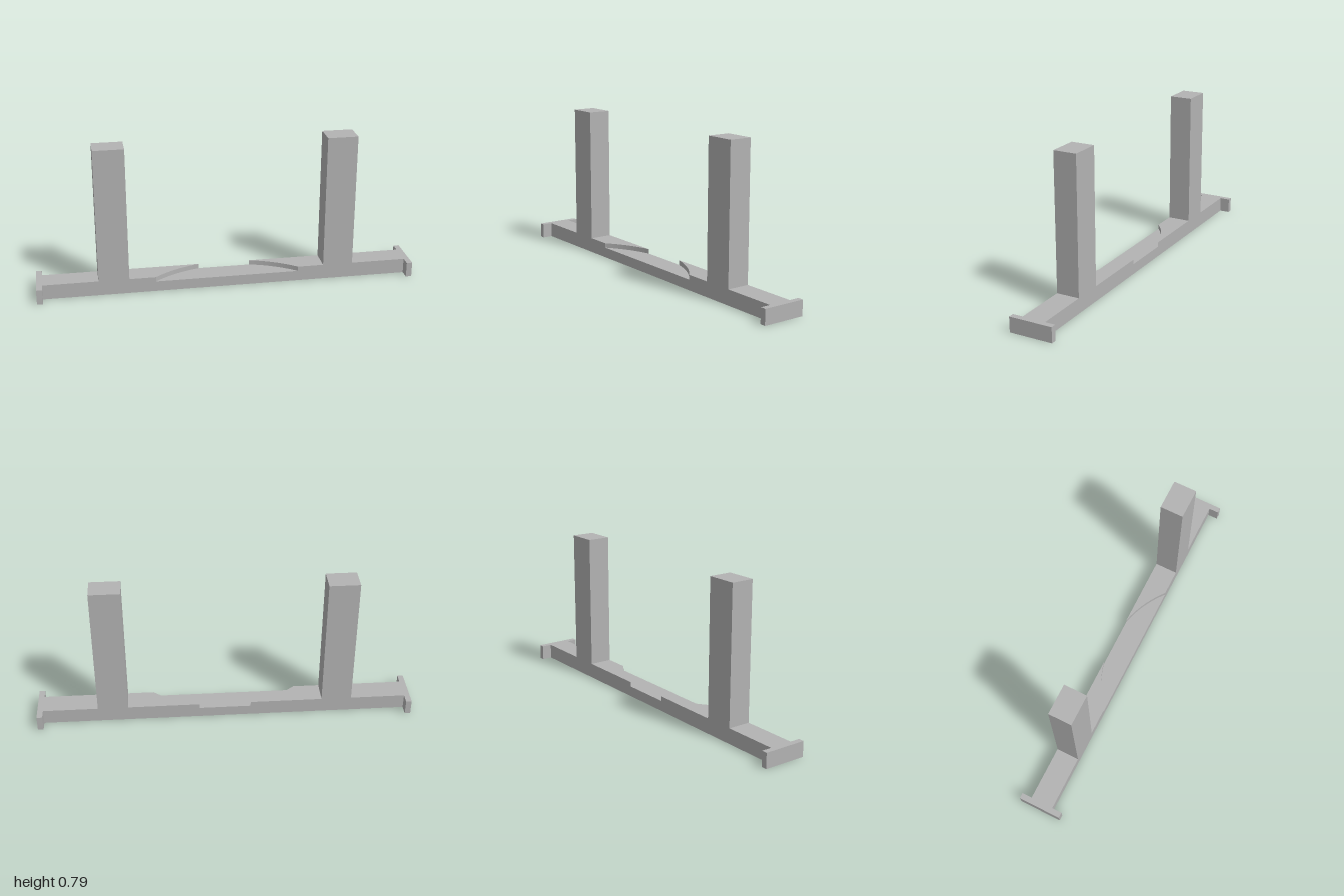
import * as THREE from 'three';

export function createModel() {
  const group = new THREE.Group();
  const grey = new THREE.MeshStandardMaterial({ color: 0xb3b3b3 });
  grey.name = 'grey';

  const HALF = 0.061;   // half depth of the beam
  const FLOOR = 0.055;  // height of the recess floor
  const TOP = 0.08;     // height of the beam
  const INNER = 0.97;   // inside face of the end plates

  const add = (name, geometry) => {
    const mesh = new THREE.Mesh(geometry, grey);
    mesh.name = name;
    group.add(mesh);
  };
  // Box given by its centre x, half depth and vertical range
  const box = (name, x, width, y0, y1, halfDepth) =>
    add(name, new THREE.BoxGeometry(width, y1 - y0, halfDepth * 2).translate(x, (y0 + y1) / 2, 0));

  // Lower beam, whose top is the recess floor
  box('beam', 0, INNER * 2, 0, FLOOR, HALF);

  for (const [side, s] of [['left', 1], ['right', -1]]) {
    // Raised deck with a circular cut facing the middle (shape y is -z)
    const centreZ = 0.52, radius = 0.597, steps = 16;
    const points = [[INNER, -HALF], [INNER, HALF]];
    for (let i = 0; i <= steps; i++) {
      const z = -HALF + (2 * HALF * i) / steps;
      points.push([Math.sqrt(radius ** 2 - (centreZ - z) ** 2), -z]);
    }
    const shape = new THREE.Shape(points.map(([x, y]) => new THREE.Vector2(s * x, y)));
    const deck = new THREE.ExtrudeGeometry(shape, { depth: TOP - FLOOR, bevelEnabled: false });
    add(side + 'Deck', deck.rotateX(-Math.PI / 2).translate(0, FLOOR, 0));

    // Upright post and wide end plate
    box(side + 'Post', s * 0.6, 0.16, TOP, 0.795, HALF);
    box(side + 'EndPlate', s * (1 + INNER) / 2, 1 - INNER, 0, TOP, 0.115);
  }
  return group;
}
